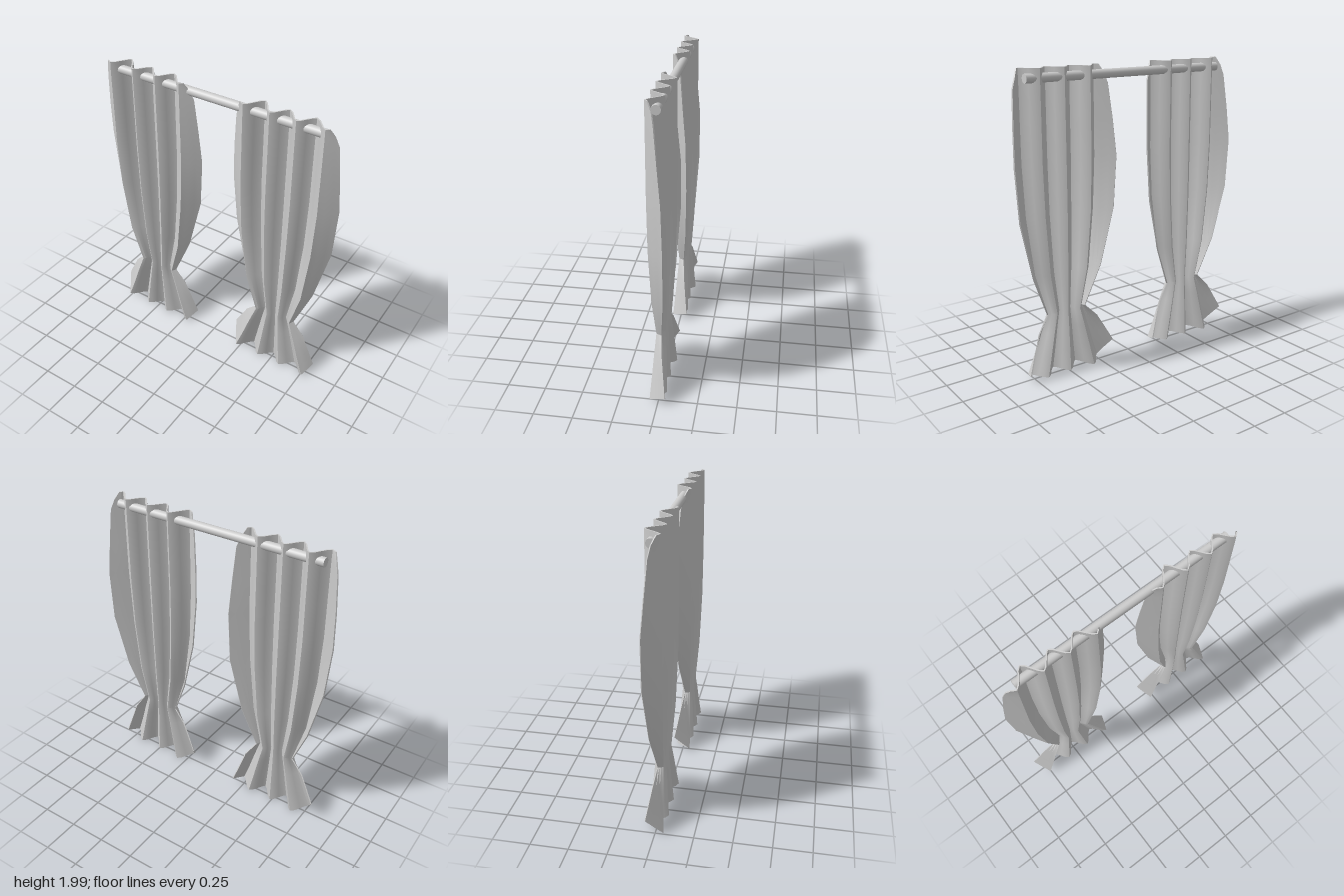
import * as THREE from 'three';
import { toCreasedNormals } from 'three/addons/utils/BufferGeometryUtils.js';

const material = new THREE.MeshStandardMaterial({ color: 0xcccccc, side: THREE.DoubleSide });

// Fold ridges across the panel: [x from panel centre, z]
const FOLDS = [[-0.265, 0.052], [-0.175, -0.052], [-0.087, 0.052], [-0.002, -0.036],
  [0.084, 0.052], [0.168, -0.038], [0.265, 0.052]];

// Heights: y, width scale, depth scale, left edge x, right edge x, edge z
const ROWS = [
  [2.00, 1.00, 1.00, -0.295, 0.285, 0.035],
  [1.95, 1.00, 1.00, -0.318, 0.310, 0.010],
  [1.88, 1.00, 1.00, -0.338, 0.335, -0.005],
  [1.65, 1.00, 1.00, -0.360, 0.350, -0.025],
  [1.42, 1.00, 1.00, -0.373, 0.361, -0.045],
  [1.08, 0.94, 0.98, -0.345, 0.342, -0.050],
  [0.70, 0.77, 0.80, -0.250, 0.252, -0.033],
  [0.43, 0.49, 0.52, -0.140, 0.145, -0.005],
  [0.30, 0.66, 0.68, -0.225, 0.220, -0.020],
  [0.15, 0.84, 0.85, -0.280, 0.262, -0.035],
  [0.01, 1.01, 1.00, -0.330, 0.302, -0.050],
];
const WAIST = 0.43, SEGMENTS = 4, FLAP = 3, HALF_THICKNESS = 0.004;

// Rounded zigzag through the fold ridges
function foldProfile() {
  const points = [];
  for (let i = 0; i < FOLDS.length - 1; i++) {
    const [x0, z0] = FOLDS[i], [x1, z1] = FOLDS[i + 1];
    for (let s = 0; s < SEGMENTS; s++) {
      const t = s / SEGMENTS, e = (1 - Math.cos(Math.PI * t)) / 2;
      points.push([x0 + (x1 - x0) * t, z0 + (z1 - z0) * (e * 0.7 + t * 0.3)]);
    }
  }
  points.push(FOLDS[FOLDS.length - 1]);
  return points;
}

// One cross-section of the cloth, from left flap edge to right flap edge
function clothRow([y, width, depth, leftX, rightX, edgeZ], profile) {
  const hem = y < 0.1;
  const middle = profile.map(([x, z]) =>
    new THREE.Vector3(x * width, hem ? y + 0.005 + z * 0.14 : y, z * depth));
  // flap hems rise towards their outer edges
  const edgeY = (k) => (y < WAIST ? WAIST - (WAIST - y) * k : y);
  const left = new THREE.Vector3(leftX, edgeY(0.67), edgeZ);
  const right = new THREE.Vector3(rightX, edgeY(0.88), edgeZ);
  const row = [];
  for (let i = 0; i < FLAP; i++) row.push(left.clone().lerp(middle[0], i / FLAP));
  row.push(...middle);
  for (let i = 1; i <= FLAP; i++) row.push(middle[middle.length - 1].clone().lerp(right, i / FLAP));
  return row;
}

// Closed loop around the cloth: front face left to right, back face right to left
function thicken(row) {
  const front = [], back = [];
  row.forEach((p, i) => {
    const a = row[Math.max(i - 1, 0)], b = row[Math.min(i + 1, row.length - 1)];
    const n = new THREE.Vector3(a.z - b.z, 0, b.x - a.x).normalize().multiplyScalar(HALF_THICKNESS);
    front.push(p.clone().add(n));
    back.unshift(p.clone().sub(n));
  });
  return [...front, ...back];
}

function panelGeometry() {
  const profile = foldProfile();
  const loops = ROWS.map((row) => thicken(clothRow(row, profile)));
  const n = loops[0].length, last = (loops.length - 1) * n;
  const index = [];
  const quad = (a, b, c, d) => index.push(a, b, c, a, c, d);
  for (let r = 0; r < loops.length - 1; r++) {
    for (let c = 0; c < n; c++) {
      const d = (c + 1) % n;
      quad(r * n + c, (r + 1) * n + c, (r + 1) * n + d, r * n + d);
    }
  }
  // top and bottom hems
  for (let c = 0; c < n / 2 - 1; c++) {
    const e = n - 1 - c;
    quad(c, c + 1, e - 1, e);
    quad(last + e, last + e - 1, last + c + 1, last + c);
  }
  const geometry = new THREE.BufferGeometry().setFromPoints(loops.flat());
  geometry.setIndex(index);
  return toCreasedNormals(geometry, 0.45);
}

export function createModel() {
  const model = new THREE.Group();
  model.name = 'curtains';

  // Two identical gathered panels
  const cloth = panelGeometry();
  [['rightCurtain', -0.486], ['leftCurtain', 0.496]].forEach(([name, x]) => {
    const panel = new THREE.Mesh(cloth, material);
    panel.name = name;
    panel.position.x = x;
    model.add(panel);
  });

  // Rod threaded through the folds
  const rod = new THREE.Mesh(new THREE.CylinderGeometry(0.029, 0.029, 1.49, 24), material);
  rod.name = 'curtainRod';
  rod.rotation.z = Math.PI / 2;
  rod.position.set(0.003, 1.94, -0.003);
  model.add(rod);

  return model;
}
